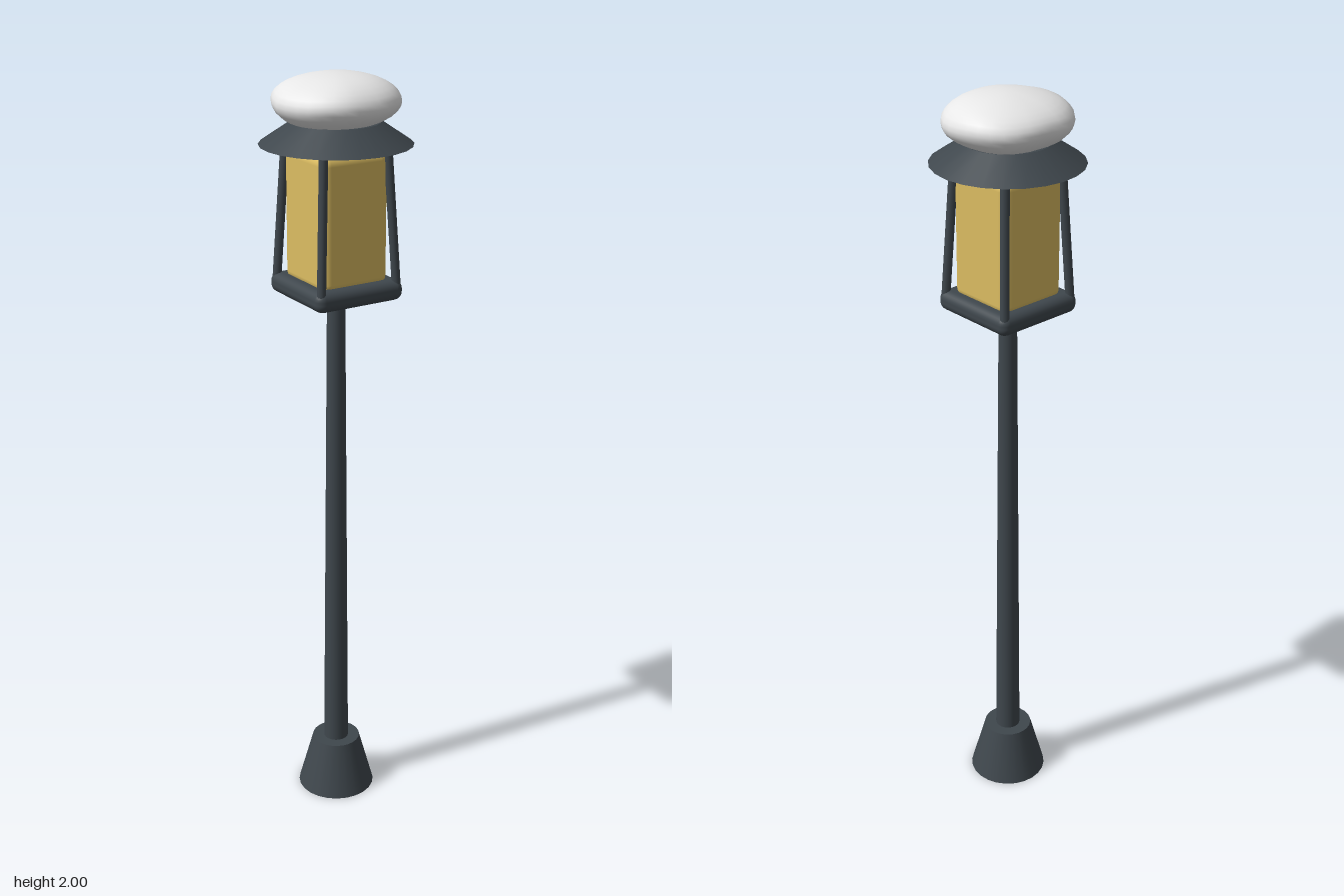
import * as THREE from 'three';
import { mergeVertices } from 'three/addons/utils/BufferGeometryUtils.js';
import { RoundedBoxGeometry } from 'three/addons/geometries/RoundedBoxGeometry.js';

export function createModel() {
  const model = new THREE.Group();
  model.name = 'streetLamp';

  const material = (name, color) => {
    const m = new THREE.MeshStandardMaterial({ color });
    m.name = name;
    return m;
  };
  const metal = material('darkMetal', 0x3f474d);
  const amber = material('amberGlass', 0xdcbd62);
  const white = material('snowWhite', 0xeeeeee);

  const add = (name, geometry, mat, y = 0) => {
    const mesh = new THREE.Mesh(geometry, mat);
    mesh.name = name;
    mesh.position.y = y;
    model.add(mesh);
    return mesh;
  };
  // Upright frustum given by its radii and its lower and upper heights
  const frustum = (name, rBottom, rTop, y0, y1) =>
    add(name, new THREE.CylinderGeometry(rTop, rBottom, y1 - y0, 24), metal, (y0 + y1) / 2);

  // Foot, pole and conical roof
  frustum('base', 0.105, 0.065, 0, 0.148);
  frustum('pole', 0.034, 0.023, 0.1, 1.46);
  frustum('roof', 0.19, 0.11, 1.828, 1.882);

  // Lantern floor and glowing body
  add('lanternFloor', new RoundedBoxGeometry(0.25, 0.052, 0.25, 3, 0.022), metal, 1.47);
  add('lanternGlass', new RoundedBoxGeometry(0.192, 0.34, 0.192, 3, 0.025), amber, 1.65);

  // Four corner posts leaning inwards
  for (const sx of [-1, 1]) {
    for (const sz of [-1, 1]) {
      const foot = new THREE.Vector3(sx * 0.109, 1.475, sz * 0.109);
      const head = new THREE.Vector3(sx * 0.09, 1.84, sz * 0.09);
      const path = new THREE.LineCurve3(foot, head);
      add('cornerPost', new THREE.TubeGeometry(path, 1, 0.0115, 10), metal);
    }
  }

  // Snow cap: a flattened ball whose plan follows an uneven outline
  const outline = [0.157, 0.16, 0.157, 0.154, 0.152, 0.157, 0.156, 0.158,
    0.166, 0.158, 0.158, 0.156, 0.148, 0.152, 0.158, 0.159];
  const snow = new THREE.SphereGeometry(1, 32, 18);
  snow.deleteAttribute('uv');
  snow.deleteAttribute('normal');
  const p = snow.attributes.position;
  for (let i = 0; i < p.count; i++) {
    const x = p.getX(i), y = p.getY(i), z = p.getZ(i);
    const t = ((Math.atan2(z, x) / (2 * Math.PI) + 1) % 1) * outline.length;
    const k = Math.floor(t) % outline.length;
    const r = THREE.MathUtils.lerp(outline[k], outline[(k + 1) % outline.length], t - Math.floor(t));
    const bump = 0.004 * Math.sin(3 * x + 1) * Math.sin(4 * z) * (1 - y * y);
    p.setXYZ(i, x * r, y * 0.068 + bump, z * r);
  }
  const cap = mergeVertices(snow, 1e-5);
  cap.computeVertexNormals();
  add('snowCap', cap, white, 1.932);

  return model;
}
